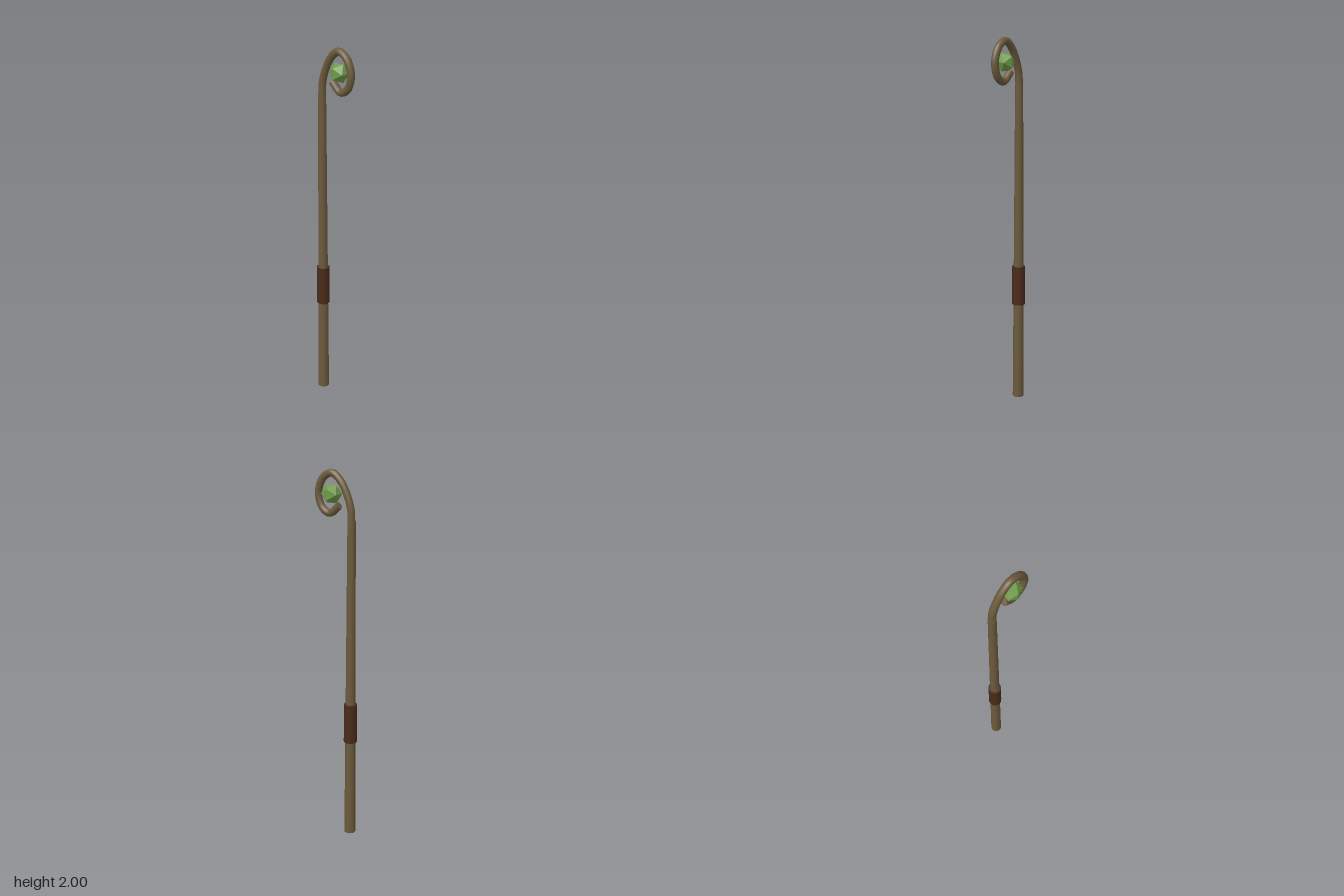
import * as THREE from 'three';

export function createModel() {
  const group = new THREE.Group();
  const wood = new THREE.MeshStandardMaterial({ color: 0x6b5a3c });
  const leather = new THREE.MeshStandardMaterial({ color: 0x4a2a1a });
  const crystal = new THREE.MeshStandardMaterial({ color: 0x6f9a4a, flatShading: true });
  const shaftX = -0.094;

  const add = (name, geometry, material, x = 0, y = 0, z = 0) => {
    const mesh = new THREE.Mesh(geometry, material);
    mesh.name = name;
    mesh.position.set(x, y, z);
    group.add(mesh);
    return mesh;
  };

  // Tapered staff and leather grip
  add('shaft', new THREE.CylinderGeometry(0.021, 0.031, 1.75, 12), wood, shaftX, 0.875);
  add('grip', new THREE.CylinderGeometry(0.035, 0.036, 0.217, 12), leather, shaftX, 0.659);

  // Curled crook
  const crookRadius = 0.0195;
  const path = new THREE.CatmullRomCurve3([
    [shaftX, 1.735], [-0.089, 1.81], [-0.068, 1.875], [-0.03, 1.942], [0.022, 1.98],
    [0.075, 1.955], [0.106, 1.88], [0.085, 1.805], [0.037, 1.778], [-0.02, 1.822],
  ].map(([x, y]) => new THREE.Vector3(x, y, 0)));
  add('crook', new THREE.TubeGeometry(path, 56, crookRadius, 10), wood);

  // Flat cap closing the curl's tip
  const tip = path.getPoint(1);
  const cap = add('crookTip', new THREE.CircleGeometry(crookRadius, 10), wood, tip.x, tip.y, tip.z);
  cap.quaternion.setFromUnitVectors(new THREE.Vector3(0, 0, 1), path.getTangent(1));

  // Faceted gem held inside the curl
  add('gem', new THREE.IcosahedronGeometry(0.0535, 0), crystal, 0.026, 1.876);

  return group;
}
